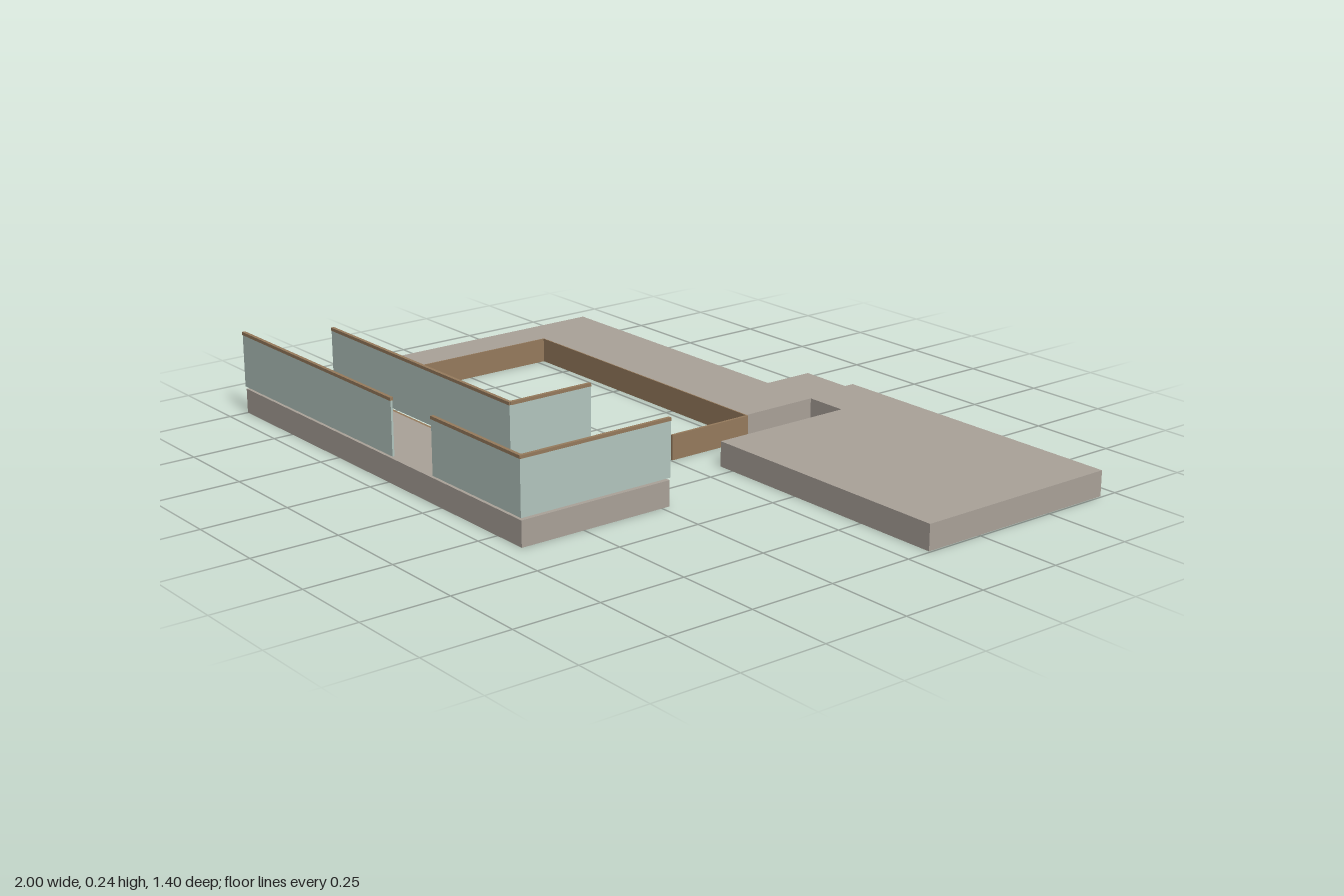
import * as THREE from 'three';

const mat = (name, color) => {
  const m = new THREE.MeshStandardMaterial({ color });
  m.name = name;
  return m;
};

export function createModel() {
  const group = new THREE.Group();
  const stone = mat('stone', 0xaaa299);
  const glass = mat('paleGlass', 0xb3c6bf);
  const wood = mat('wood', 0x967b5d);
  const SLAB = 0.072;

  // terrace slab, plan outline as [x, z]
  const outline = [
    [-1, -0.515], [-0.11, -0.515], [-0.11, -0.67], [0.05, -0.67], [0.05, -0.7],
    [0.995, -0.7], [0.995, -0.075], [0.202, -0.075], [0.202, -0.515], [0.075, -0.515],
    [0.075, -0.275], [-0.88, -0.275], [-0.88, 0.472], [0, 0.472],
    [0, 0.225], [0.355, 0.225], [0.355, 0.692], [-1, 0.692],
  ];
  const shape = new THREE.Shape(outline.map(([x, z]) => new THREE.Vector2(x, -z)));
  const slabGeo = new THREE.ExtrudeGeometry(shape, { depth: SLAB, bevelEnabled: false });
  slabGeo.rotateX(-Math.PI / 2);
  const slab = new THREE.Mesh(slabGeo, stone);
  slab.name = 'terraceSlab';
  group.add(slab);

  // upright thin wall between two plan points
  function wall(name, [x1, z1], [x2, z2], y0, y1, thick, material) {
    const geo = new THREE.BoxGeometry(Math.hypot(x2 - x1, z2 - z1), y1 - y0, thick);
    const m = new THREE.Mesh(geo, material);
    m.position.set((x1 + x2) / 2, (y0 + y1) / 2, (z1 + z2) / 2);
    m.rotation.y = -Math.atan2(z2 - z1, x2 - x1);
    m.name = name;
    group.add(m);
  }

  // wooden fascia lining the courtyard opening
  const fascia = [
    [0.079, -0.005], [0.079, -0.274], [-0.879, -0.274], [-0.879, 0.47],
    [-0.001, 0.47], [-0.001, 0.205], [0.08, 0.205],
  ];
  for (let i = 0; i < fascia.length - 1; i++) {
    const thick = i === 1 || i === 2 ? 0.004 : 0.008;
    wall('courtyardFascia', fascia[i], fascia[i + 1], 0, SLAB, thick, wood);
  }

  // glass balustrades with wooden handrails
  const balustrades = [
    [[-1, 0.692], [-0.222, 0.692]],
    [[-0.032, 0.692], [0.358, 0.692]],
    [[0.356, 0.696], [0.356, 0.225]],
    [[-0.88, 0.471], [0.002, 0.471]],
    [[-0.001, 0.471], [-0.001, 0.21]],
  ];
  for (const [a, b] of balustrades) {
    wall('glassPanel', a, b, 0.08, 0.234, 0.006, glass);
    wall('handrail', a, b, 0.234, 0.243, 0.01, wood);
  }

  return group;
}
